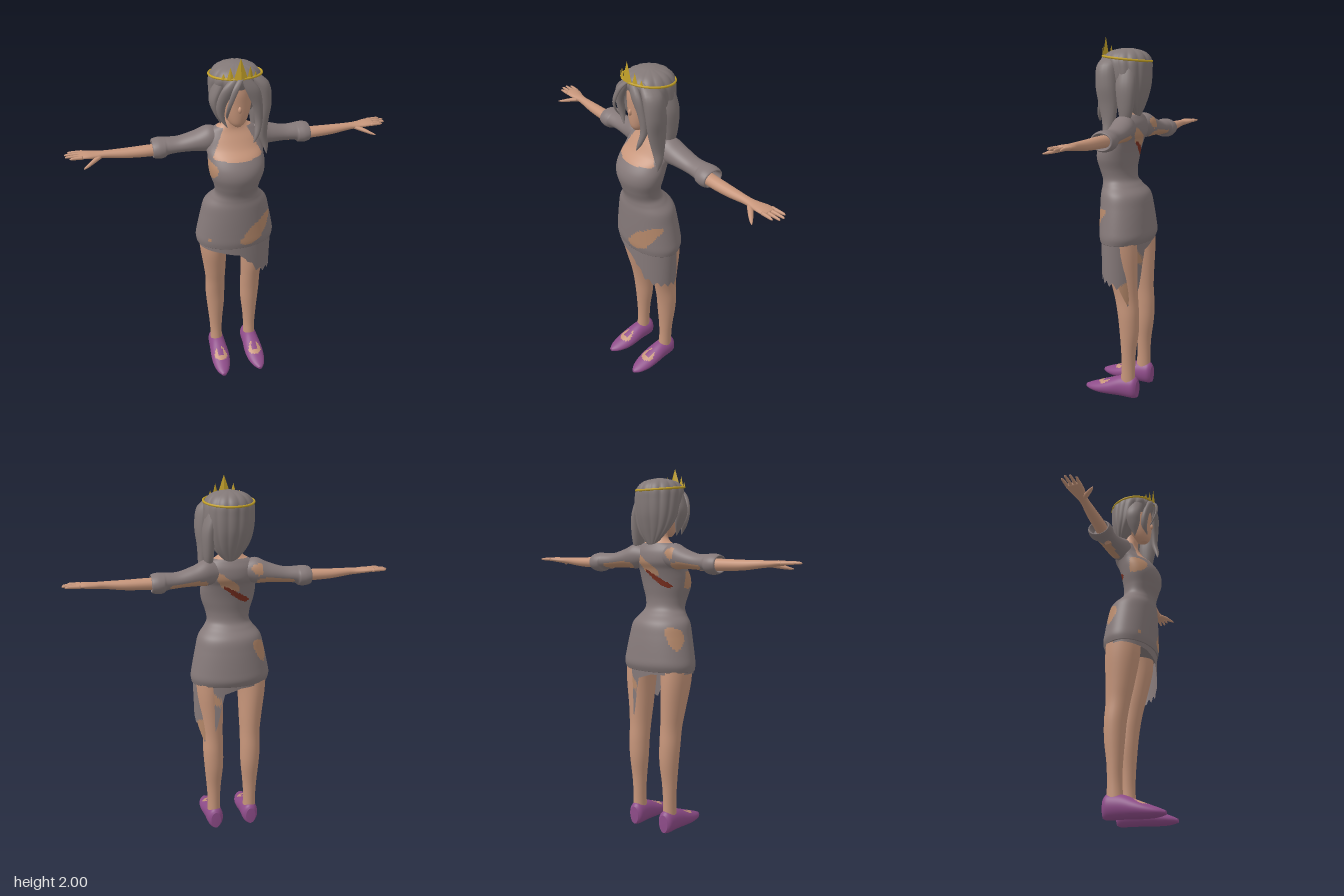
import * as THREE from 'three';

const paint = (name, color, side = THREE.FrontSide) => {
  const m = new THREE.MeshStandardMaterial({ color, side });
  m.name = name;
  return m;
};
const dress = paint('dressGrey', 0x857979);
const skirtCloth = dress.clone();
skirtCloth.side = THREE.DoubleSide;
const skin = paint('skin', 0xc6957a);
const tear = paint('tornSkinPatch', 0xb5886a, THREE.DoubleSide);
const wound = paint('wound', 0x7c3020);
const hair = paint('hairGrey', 0x827877);
const shoe = paint('shoePurple', 0x8e4c89);
const gold = paint('crownGold', 0xc2a028);

// Grid surface that wraps around in u; pick(point, angle) chooses a material per quad
function surface(name, nu, nv, fn, mats, pick = () => 0) {
  const pts = [], mid = new THREE.Vector3();
  for (let j = 0; j <= nv; j++) for (let i = 0; i < nu; i++) {
    const p = fn((i / nu) * Math.PI * 2, j);
    pts.push(p);
    mid.add(p);
  }
  mid.divideScalar(pts.length);
  const buckets = mats.map(() => []);
  let volume = 0;
  for (let j = 0; j < nv; j++) for (let i = 0; i < nu; i++) {
    const k = (i + 1) % nu;
    const q = [j * nu + i, j * nu + k, (j + 1) * nu + k, (j + 1) * nu + i];
    const c = new THREE.Vector3();
    q.forEach(v => c.addScaledVector(pts[v], 0.25));
    buckets[pick(c, ((i + 0.5) / nu) * Math.PI * 2)].push(q[0], q[1], q[2], q[0], q[2], q[3]);
    const [a, b, d, e] = q.map(v => pts[v].clone().sub(mid));
    volume += a.dot(b.clone().cross(d)) + a.dot(d.clone().cross(e));
  }
  const geo = new THREE.BufferGeometry().setFromPoints(pts);
  const index = buckets.flat();
  if (volume < 0) for (let i = 0; i < index.length; i += 3) [index[i], index[i + 1]] = [index[i + 1], index[i]];
  geo.setIndex(index);
  let start = 0;
  buckets.forEach((b, m) => { if (b.length) geo.addGroup(start, b.length, m); start += b.length; });
  geo.computeVertexNormals();
  const mesh = new THREE.Mesh(geo, mats.length > 1 ? mats : mats[0]);
  mesh.name = name;
  return mesh;
}

// Smooth interpolation through rows of numbers
function spline(keys, t) {
  const f = Math.min(t, 0.99999) * (keys.length - 1), i = Math.floor(f), s = f - i;
  const at = n => keys[Math.max(0, Math.min(keys.length - 1, n))];
  return keys[0].map((_, c) => {
    const [a, b, d, e] = [at(i - 1)[c], at(i)[c], at(i + 1)[c], at(i + 2)[c]];
    return b + 0.5 * s * (d - a + s * (2 * a - 5 * b + 4 * d - e + s * (3 * (b - d) + e - a)));
  });
}

// Capped loft; keys are [x, y, z, radiusA, radiusB], rings lie across the given axis
function loft(name, axis, keys, mats, { n = 18, steps = 5, pick, mod = () => 1, floor = -1 } = {}) {
  const rows = (keys.length - 1) * steps;
  return surface(name, n, rows + 2, (u, j) => {
    const [x, y, z, a, b] = spline(keys, THREE.MathUtils.clamp((j - 1) / rows, 0, 1));
    const k = j === 0 || j === rows + 2 ? 0 : mod(u);
    const ca = Math.max(a, 0.001) * k * Math.cos(u), sb = Math.max(b, 0.001) * k * Math.sin(u);
    if (axis === 'x') return new THREE.Vector3(x, y + ca, z + sb);
    if (axis === 'z') return new THREE.Vector3(x + ca, Math.max(floor, y + sb), z);
    return new THREE.Vector3(x + ca, y, z + sb);
  }, [mats].flat(), pick);
}

// Slightly ragged rotated ellipse test for painted patches
function blob(u, v, cu, cv, a, b, deg = 0) {
  const r = THREE.MathUtils.degToRad(deg), du = u - cu, dv = v - cv;
  const p = (du * Math.cos(r) + dv * Math.sin(r)) / a, q = (dv * Math.cos(r) - du * Math.sin(r)) / b;
  return Math.hypot(p, q) < 1 + 0.12 * Math.sin(3 * Math.atan2(q, p) + 1);
}
const mirrored = (s, keys) => keys.map(([x, ...rest]) => [s * x, ...rest]);

export function createModel() {
  const g = new THREE.Group();
  g.name = 'figure';

  // Torso: y, half width, front z, back z
  const torso = [
    [0.915, 0.214, 0.105, -0.168], [0.95, 0.219, 0.111, -0.18], [1.0, 0.211, 0.112, -0.176],
    [1.1, 0.19, 0.112, -0.162], [1.17, 0.172, 0.11, -0.145], [1.215, 0.137, 0.106, -0.105],
    [1.25, 0.117, 0.109, -0.078], [1.3, 0.123, 0.125, -0.072], [1.36, 0.142, 0.14, -0.08],
    [1.41, 0.149, 0.132, -0.09], [1.46, 0.147, 0.1, -0.105], [1.5, 0.15, 0.058, -0.122],
    [1.55, 0.142, 0.025, -0.12], [1.585, 0.115, 0.005, -0.105], [1.61, 0.072, 0, -0.09],
    [1.64, 0.049, 0.002, -0.078], [1.7, 0.045, 0, -0.07],
  ].map(([y, w, f, b]) => [0, y, (f + b) / 2, w, (f - b) / 2]);
  const torsoPick = ({ x, y, z }) => {
    if (y > 1.6) return 1;
    const edge = THREE.MathUtils.mapLinear(y, 1.46, 1.6, 0.132, 0.06);
    if (z > -0.04 && y > 1.455 + 0.5 * x * x && Math.abs(x) < edge) return 1;
    if (z > 0) {
      if (blob(x, y, 0.105, 1.025, 0.095, 0.045, 42) || blob(x, y, 0.06, 0.965, 0.065, 0.026, 8)
        || blob(x, y, -0.16, 0.97, 0.008, 0.012) || blob(x, y, -0.14, 1.405, 0.025, 0.045)) return 2;
      return 0;
    }
    if (blob(x, y, -0.03, 1.405, 0.085, 0.015, 33)) return 3;
    if (blob(x, y, 0.03, 1.475, 0.085, 0.03, 40)) return 2;
    return x < -0.1 && blob(z, y, -0.1, 1.1, 0.035, 0.06) ? 2 : 0;
  };
  g.add(loft('dressAndNeck', 'y', torso, [dress, skin, tear, wound], { n: 120, steps: 9, pick: torsoPick }));

  // Torn lower skirt: hem height by angle in degrees (0 left, 90 front, 270 back)
  const hem = [[0, 0.69], [20, 0.7], [45, 0.71], [60, 0.735], [75, 0.81], [90, 0.86], [120, 0.885], [180, 0.905],
    [260, 0.9], [285, 0.87], [297, 0.68], [308, 0.58], [320, 0.55], [335, 0.63], [345, 0.68], [360, 0.69]];
  const hemAt = d => {
    const i = Math.max(1, hem.findIndex(h => h[0] >= d)), [a, b] = [hem[i - 1], hem[i]];
    const y = THREE.MathUtils.mapLinear(d, a[0], b[0], a[1], b[1]);
    return y > 0.82 || d > 290 && d < 340 ? y : y + 0.03 * (Math.abs(((d / 17) % 1) - 0.5) - 0.25) * 2;
  };
  g.add(surface('tornSkirt', 144, 40, (u, j) => {
    const y = THREE.MathUtils.lerp(0.94, hemAt(THREE.MathUtils.radToDeg(u)), j / 40);
    const k = 1 - (0.94 - y) * 0.12;
    return new THREE.Vector3(0.208 * k * Math.cos(u), y, -0.03 + 0.13 * k * Math.sin(u));
  }, [skirtCloth, tear], ({ x, y, z }) =>
    z < -0.04 && x > 0 && (blob(x, y, 0.115, 0.85, 0.075, 0.022, 50) || blob(x, y, 0.165, 0.65, 0.03, 0.065)) ? 1 : 0));

  for (const s of [1, -1]) {
    const side = s > 0 ? 'left' : 'right';
    // Legs and shoes
    g.add(loft(side + 'Leg', 'y', mirrored(s, [
      [0.118, 0.97, -0.04, 0.085, 0.095], [0.12, 0.85, -0.045, 0.076, 0.095], [0.112, 0.7, -0.06, 0.064, 0.078],
      [0.108, 0.6, -0.072, 0.057, 0.066], [0.108, 0.5, -0.084, 0.057, 0.06], [0.106, 0.4, -0.088, 0.053, 0.054],
      [0.107, 0.28, -0.085, 0.042, 0.042], [0.107, 0.18, -0.084, 0.036, 0.039], [0.107, 0.08, -0.08, 0.037, 0.044],
    ]), skin, { n: 28 }));
    g.add(loft(side + 'Shoe', 'z', mirrored(s, [
      [0.105, 0.06, -0.14, 0.028, 0.05], [0.105, 0.066, -0.115, 0.046, 0.064], [0.107, 0.062, -0.04, 0.051, 0.06],
      [0.108, 0.047, 0.03, 0.056, 0.048], [0.11, 0.034, 0.09, 0.052, 0.036], [0.113, 0.026, 0.145, 0.036, 0.022],
      [0.115, 0.022, 0.18, 0.012, 0.01],
    ]), [shoe, skin], {
      n: 40, steps: 8, floor: 0.003,
      pick: ({ x, y, z }) => {
        const d = Math.abs(x - s * 0.109);
        return y > 0.05 && blob(d, z, 0, 0.055, 0.034, 0.05) && !(d < 0.014 && z < 0.07) ? 1 : 0;
      },
    }));
    // Sleeve with rolled cuff turning inward
    g.add(loft(side + 'Sleeve', 'x', mirrored(s, [
      [0.07, 1.53, -0.06, 0.05, 0.05], [0.13, 1.53, -0.063, 0.068, 0.064], [0.2, 1.517, -0.072, 0.052, 0.06],
      [0.28, 1.504, -0.08, 0.041, 0.053], [0.34, 1.5, -0.084, 0.044, 0.056], [0.36, 1.494, -0.085, 0.051, 0.064],
      [0.39, 1.493, -0.085, 0.053, 0.067], [0.418, 1.493, -0.085, 0.046, 0.061], [0.415, 1.493, -0.085, 0.038, 0.05],
      [0.37, 1.493, -0.085, 0.034, 0.044],
    ]), [dress, tear], {
      n: 40, steps: 8,
      pick: ({ x, y, z }) => (z < -0.06 && y < 1.5 && blob(s * x, y, 0.22, 1.475, 0.1, 0.025))
        || (s < 0 && z < -0.08 && blob(x, y, -0.13, 1.545, 0.03, 0.03)) ? 1 : 0,
    }));
    // Arm and hand
    g.add(loft(side + 'Arm', 'x', mirrored(s, [
      [0.3, 1.49, -0.078, 0.032, 0.034], [0.44, 1.49, -0.072, 0.03, 0.034], [0.55, 1.491, -0.073, 0.026, 0.03],
      [0.65, 1.497, -0.074, 0.019, 0.023], [0.7, 1.499, -0.076, 0.016, 0.03], [0.75, 1.503, -0.079, 0.014, 0.04],
      [0.79, 1.504, -0.08, 0.009, 0.038],
    ]), skin));
    const digits = [[-0.112, -0.117, 0.845], [-0.091, -0.094, 0.86], [-0.069, -0.069, 0.857], [-0.049, -0.045, 0.835]];
    digits.forEach(([z0, z1, tip], i) => g.add(loft(side + 'Finger' + (i + 1), 'x', mirrored(s, [
      [0.77, 1.504, z0, 0.009, 0.011], [0.81, 1.505, (z0 + z1) / 2, 0.008, 0.008], [tip - 0.01, 1.505, z1, 0.006, 0.006],
      [tip, 1.504, z1, 0.002, 0.002],
    ]), skin, { n: 10 })));
    g.add(loft(side + 'Thumb', 'x', mirrored(s, [
      [0.68, 1.494, -0.062, 0.01, 0.016], [0.72, 1.487, -0.03, 0.011, 0.018], [0.75, 1.479, -0.004, 0.008, 0.013],
      [0.773, 1.474, 0.016, 0.003, 0.004],
    ]), skin, { n: 10 }));
  }

  // Head
  g.add(loft('head', 'y', [
    [0, 1.632, 0.042, 0.018, 0.02], [0, 1.655, 0.028, 0.044, 0.05], [0, 1.7, 0.012, 0.066, 0.073],
    [0, 1.76, -0.002, 0.08, 0.089], [0, 1.82, -0.01, 0.085, 0.097], [0, 1.88, -0.015, 0.072, 0.085], [0, 1.91, -0.02, 0.03, 0.03],
  ], skin, { n: 32 }));
  const nose = new THREE.Mesh(new THREE.SphereGeometry(0.012, 12, 8), skin);
  nose.name = 'nose';
  nose.scale.set(0.8, 1.4, 1);
  nose.position.set(0, 1.735, 0.088);
  g.add(nose);

  // Hair: grooved cap and hanging locks
  g.add(loft('hairCap', 'y', [
    [0.01, 1.59, -0.09, 0.025, 0.012], [0.01, 1.64, -0.085, 0.075, 0.035], [0.008, 1.69, -0.07, 0.106, 0.066],
    [0.006, 1.75, -0.052, 0.124, 0.098], [0.005, 1.82, -0.04, 0.13, 0.115], [0.004, 1.88, -0.027, 0.125, 0.125],
    [0.004, 1.92, -0.025, 0.09, 0.092], [0.004, 1.938, -0.025, 0.025, 0.025],
  ], hair, { n: 112, mod: u => 0.97 + 0.05 * Math.abs(Math.sin(7 * u)) }));
  const locks = {
    longLock: [[0.05, 1.905, 0.03, 0.03, 0.04], [0.11, 1.85, 0.04, 0.045, 0.055], [0.132, 1.75, 0.035, 0.04, 0.058],
      [0.13, 1.65, 0.025, 0.032, 0.052], [0.135, 1.56, 0.02, 0.024, 0.036], [0.15, 1.5, 0.028, 0.015, 0.02],
      [0.155, 1.455, 0.04, 0.002, 0.003]],
    backLock: [[0.08, 1.85, -0.06, 0.04, 0.05], [0.115, 1.75, -0.065, 0.035, 0.055], [0.12, 1.65, -0.07, 0.03, 0.045],
      [0.12, 1.57, -0.065, 0.02, 0.028], [0.12, 1.49, -0.03, 0.002, 0.003]],
    frontLock: [[0.02, 1.905, 0.085, 0.02, 0.02], [0.06, 1.84, 0.098, 0.035, 0.018], [0.09, 1.75, 0.085, 0.026, 0.02],
      [0.098, 1.67, 0.08, 0.02, 0.018], [0.085, 1.6, 0.098, 0.013, 0.012], [0.068, 1.56, 0.105, 0.002, 0.002]],
    rightFringe: [[-0.015, 1.905, 0.085, 0.02, 0.02], [-0.055, 1.85, 0.095, 0.034, 0.018], [-0.09, 1.77, 0.08, 0.025, 0.02],
      [-0.088, 1.7, 0.07, 0.016, 0.018], [-0.062, 1.645, 0.08, 0.002, 0.002]],
    forelock: [[0, 1.9, 0.105, 0.015, 0.012], [-0.03, 1.86, 0.13, 0.016, 0.008], [-0.06, 1.79, 0.138, 0.012, 0.006],
      [-0.07, 1.74, 0.125, 0.008, 0.005], [-0.068, 1.7, 0.1, 0.002, 0.002]],
    rightSideLock: [[-0.07, 1.87, 0.01, 0.035, 0.05], [-0.11, 1.78, 0.01, 0.026, 0.045], [-0.1, 1.71, 0.01, 0.02, 0.035],
      [-0.08, 1.64, 0.01, 0.002, 0.003]],
  };
  for (const [name, keys] of Object.entries(locks)) g.add(loft(name, 'y', keys, hair, { n: 16, steps: 6 }));

  // Crown: tilted ring with points at the front
  const crown = new THREE.Group();
  crown.name = 'crown';
  const ring = new THREE.Mesh(new THREE.TorusGeometry(0.13, 0.006, 8, 48), gold);
  ring.name = 'crownRing';
  ring.rotation.x = Math.PI / 2 - 0.11;
  ring.position.set(0.004, 1.885, -0.025);
  crown.add(ring);
  [[0, 0.036, 0.105, 0.103], [-0.048, 0.018, 0.062, 0.095], [0.048, 0.018, 0.062, 0.095],
    [-0.078, 0.012, 0.03, 0.08], [0.078, 0.012, 0.03, 0.08]].forEach(([x, r, h, z], i) => {
    const spike = new THREE.Mesh(new THREE.ConeGeometry(r, h, 4).toNonIndexed(), gold);
    spike.geometry.computeVertexNormals();
    spike.name = 'crownPoint' + (i + 1);
    spike.scale.z = 0.3;
    spike.rotation.y = x * 5;
    spike.position.set(x, 1.895 + h / 2, z);
    crown.add(spike);
  });
  g.add(crown);
  return g;
}
